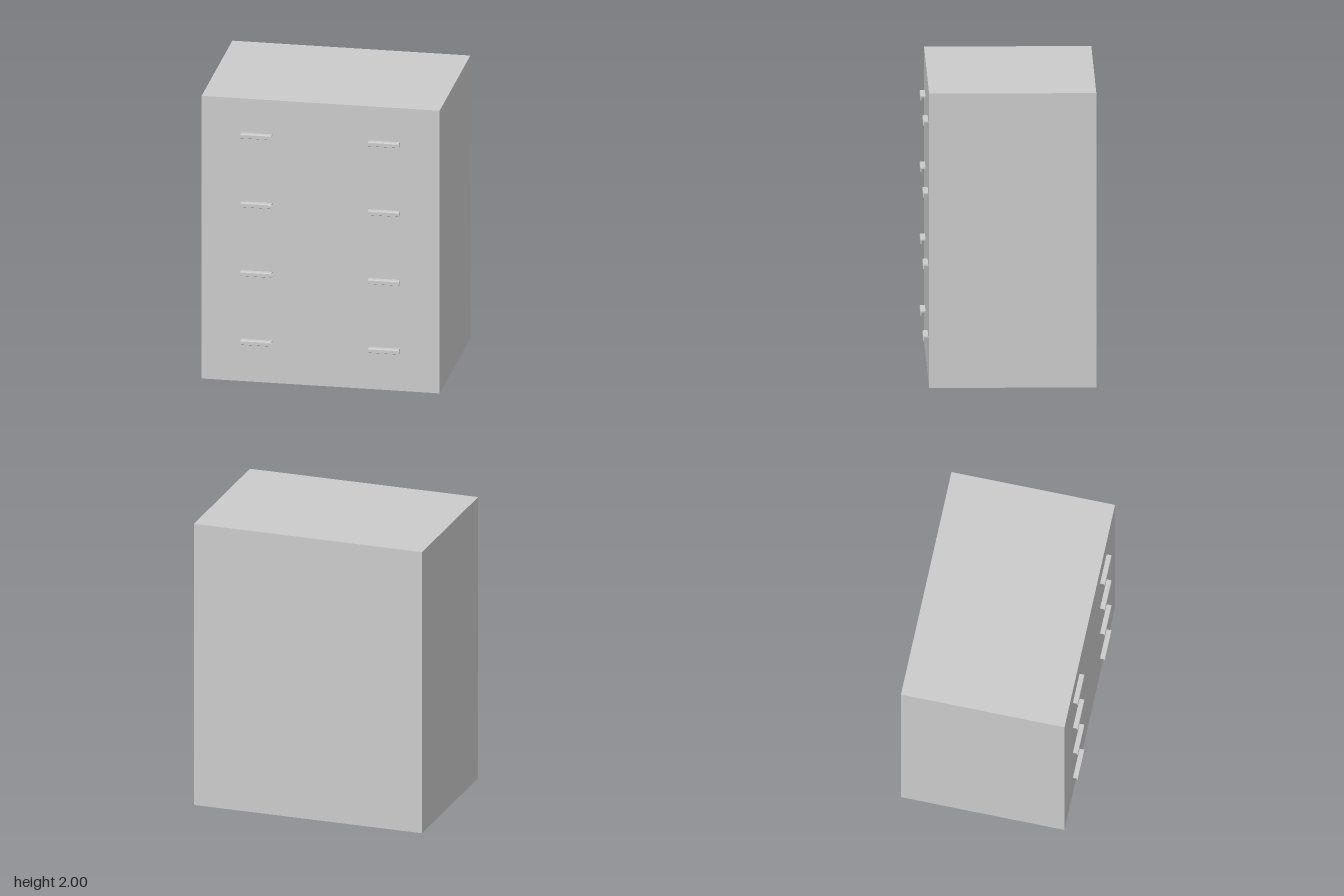
import * as THREE from 'three';

const material = new THREE.MeshStandardMaterial({ color: 0xcccccc, flatShading: true });

// Hooked lip profile (x = distance out from the front, y = height), extruded along the width
function handleGeometry(width) {
  const s = new THREE.Shape();
  s.moveTo(-0.002, 0);
  s.lineTo(0.027, 0);
  s.quadraticCurveTo(0.035, 0, 0.035, -0.008);
  s.lineTo(0.035, -0.028);
  s.lineTo(0.033, -0.03);
  s.lineTo(0.029, -0.03);
  s.lineTo(0.027, -0.028);
  s.lineTo(0.027, -0.011);
  s.lineTo(0.024, -0.008);
  s.lineTo(-0.002, -0.008);
  s.closePath();
  const geo = new THREE.ExtrudeGeometry(s, { depth: width, bevelEnabled: false, curveSegments: 4 });
  geo.translate(0, 0, -width / 2);
  geo.rotateY(-Math.PI / 2);
  return geo;
}

export function createModel() {
  const group = new THREE.Group();
  group.name = 'chestOfDrawers';

  // Plain cabinet block
  const front = 0.54, back = -0.575;
  const body = new THREE.Mesh(new THREE.BoxGeometry(1.614, 2, front - back), material);
  body.name = 'cabinetBody';
  body.position.set(0, 1, (front + back) / 2);
  group.add(body);

  // Four rows of paired drawer pulls
  const geo = handleGeometry(0.21);
  for (let row = 0; row < 4; row++) {
    for (const side of [-1, 1]) {
      const handle = new THREE.Mesh(geo, material);
      handle.name = `drawerHandle${row + 1}${side > 0 ? 'Left' : 'Right'}`;
      handle.position.set(side * 0.433, 0.298 + row * 0.487, front);
      group.add(handle);
    }
  }
  return group;
}
